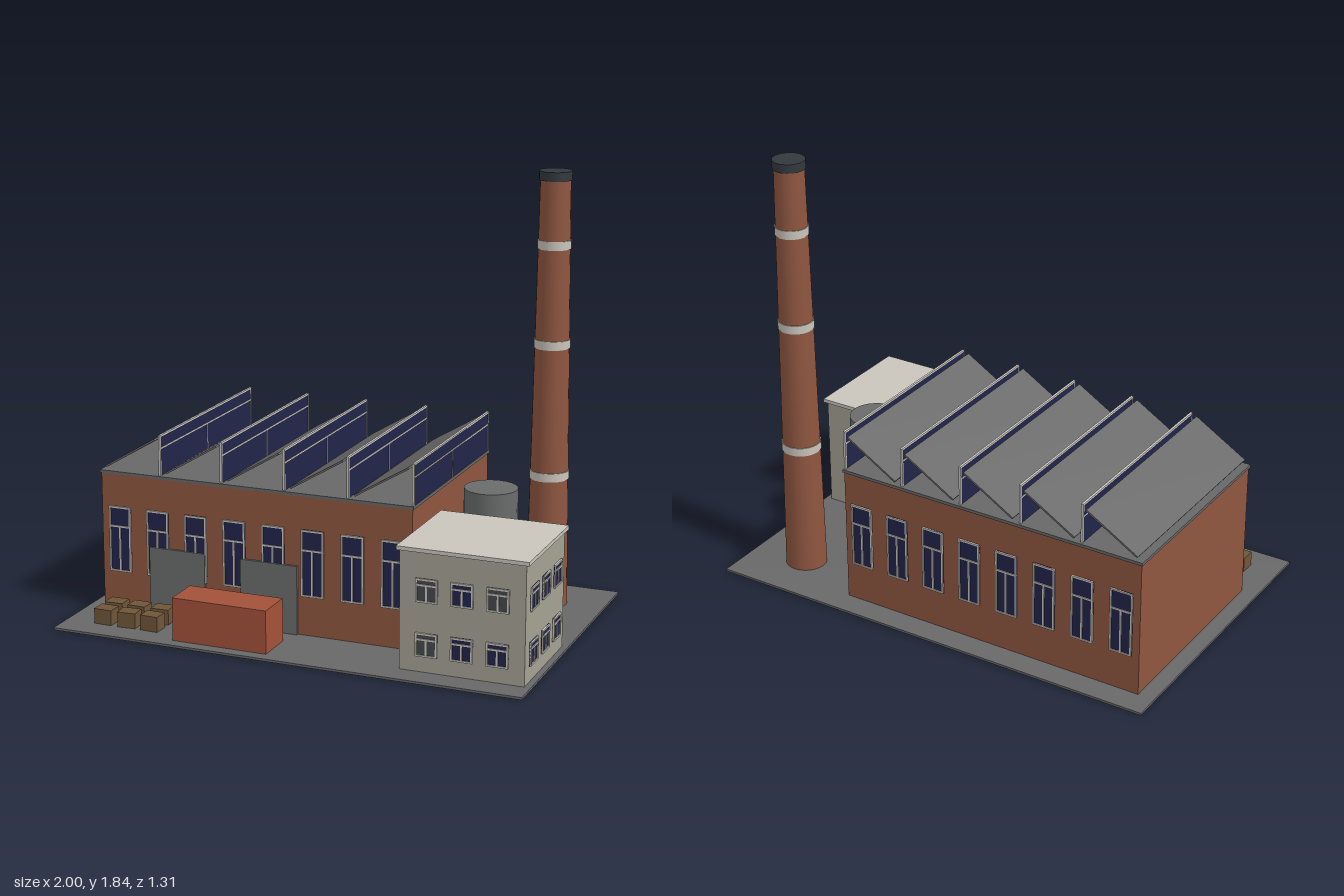
import * as THREE from 'three';

const mat = (name, color) => {
  const m = new THREE.MeshStandardMaterial({ color });
  m.name = name;
  return m;
};

export function createModel() {
  const brick = mat('brick', 0x8f5640), roofGrey = mat('roofGrey', 0x686868);
  const pale = mat('palePaint', 0xc9c5bc), plaster = mat('plaster', 0xa5a193);
  const glass = mat('glass', 0x22244a), dull = mat('dullGlass', 0x45474b);
  const dark = mat('darkSteel', 0x32383d), steel = mat('steel', 0x6a6c6c);
  const red = mat('containerRed', 0xa35139), wood = mat('wood', 0x6f5539);

  const model = new THREE.Group();
  model.name = 'factory';

  const add = (parent, name, geo, material, x, y, z) => {
    const m = new THREE.Mesh(geo, material);
    m.name = name;
    m.position.set(x, y, z);
    parent.add(m);
    return m;
  };
  // Box given by its limits on each axis
  const block = (parent, name, material, x0, x1, y0, y1, z0, z1) =>
    add(parent, name, new THREE.BoxGeometry(x1 - x0, y1 - y0, z1 - z0), material,
      (x0 + x1) / 2, (y0 + y1) / 2, (z0 + z1) / 2);
  const group = (name) => {
    const g = new THREE.Group();
    g.name = name;
    model.add(g);
    return g;
  };

  // Window facing +z, centred on its origin: pane, border, transom and lower mullions
  const makeWindow = (name, w, h, transom, mullions, bar, pane) => {
    const g = group(name);
    const x = w / 2, y = h / 2;
    block(g, 'pane', pane, -x, x, -y, y, 0, 0.004);
    const strip = (x0, x1, y0, y1) => block(g, 'frame', pale, x0, x1, y0, y1, 0, 0.008);
    strip(-x, -x + bar, -y, y);
    strip(x - bar, x, -y, y);
    strip(-x, x, y - bar, y);
    strip(-x, x, -y, -y + bar);
    strip(-x, x, transom - bar / 2, transom + bar / 2);
    for (const m of mullions) strip(m - bar / 2, m + bar / 2, -y, transom);
    return g;
  };

  // Ground
  block(model, 'ground', roofGrey, -1, 1, 0, 0.01, -0.655, 0.655);

  // Main hall
  const hall = group('hall');
  block(hall, 'walls', brick, -0.93, 0.44, 0.01, 0.592, -0.55, 0.345);
  block(hall, 'roofSlab', roofGrey, -0.935, 0.445, 0.592, 0.605, -0.555, 0.35);
  for (let i = 0; i < 8; i++) {
    const x = -0.848 + i * 0.1725;
    makeWindow('hallWindowFront', 0.098, 0.28, 0.055, [0], 0.007, glass).position.set(x, 0.315, 0.345);
    const back = makeWindow('hallWindowBack', 0.098, 0.28, 0.055, [0], 0.007, glass);
    back.position.set(x, 0.315, -0.55);
    back.rotation.y = Math.PI;
  }

  // Gates
  for (const x of [-0.585, -0.175])
    block(hall, 'gate', steel, x - 0.125, x + 0.125, 0.01, 0.3, 0.345, 0.357);

  // Sawtooth roof: sloped slabs and upright glazing
  for (let i = 0; i < 5; i++) {
    const x = -0.91 + i * 0.276;
    const run = 0.226, rise = 0.136;
    const slab = add(hall, 'sawtoothSlab', new THREE.BoxGeometry(Math.hypot(run, rise), 0.008, 0.895),
      roofGrey, x + run / 2, 0.62 + rise / 2, -0.1025);
    slab.rotation.z = Math.atan2(rise, run);
    const gx = x + 0.245;
    block(hall, 'skylightGlass', glass, gx - 0.003, gx + 0.003, 0.605, 0.77, -0.54, 0.335);
    const bar = (y0, y1, z0, z1) => block(hall, 'skylightFrame', pale, gx - 0.005, gx + 0.005, y0, y1, z0, z1);
    bar(0.768, 0.775, -0.545, 0.34);
    bar(0.717, 0.723, -0.54, 0.335);
    bar(0.605, 0.775, -0.545, -0.538);
    bar(0.605, 0.775, 0.333, 0.34);
    bar(0.605, 0.72, -0.105, -0.1);
  }

  // Office
  const office = group('office');
  block(office, 'walls', plaster, 0.465, 0.975, 0.01, 0.495, 0.07, 0.55);
  block(office, 'roof', pale, 0.453, 0.988, 0.495, 0.511, 0.058, 0.56);
  [0.122, 0.342].forEach((y, row) => {
    for (let i = 0; i < 3; i++) {
      const pane = i === 0 || (i === 2 && row === 1) ? dull : glass;
      makeWindow('officeWindowFront', 0.09, 0.096, 0.022, [0], 0.007, pane)
        .position.set(0.577 + i * 0.144, y, 0.55);
      const side = makeWindow('officeWindowSide', 0.09, 0.096, 0.022, [0], 0.007, glass);
      side.position.set(0.975, y, 0.45 - i * 0.145);
      side.rotation.y = Math.PI / 2;
    }
  });
  block(office, 'pipeLink', dark, 0.44, 0.515, 0.352, 0.382, 0.048, 0.072);

  // Water tank
  const tank = group('waterTank');
  add(tank, 'tankBody', new THREE.CylinderGeometry(0.11, 0.11, 0.21, 24), steel, 0.62, 0.485, -0.07);
  add(tank, 'tankPost', new THREE.CylinderGeometry(0.014, 0.014, 0.37, 10), dark, 0.62, 0.195, -0.07);

  // Chimney
  const chimney = group('chimney');
  const radiusAt = (y) => 0.087 - (0.025 * (y - 0.01)) / 1.79;
  add(chimney, 'stack', new THREE.CylinderGeometry(radiusAt(1.8), radiusAt(0.01), 1.79, 24), brick, 0.755, 0.905, -0.415);
  for (const y of [0.573, 1.127, 1.537])
    add(chimney, 'band', new THREE.CylinderGeometry(radiusAt(y) + 0.003, radiusAt(y) + 0.003, 0.036, 24), pale, 0.755, y, -0.415);
  add(chimney, 'cap', new THREE.CylinderGeometry(0.067, 0.067, 0.037, 24), dark, 0.755, 1.8165, -0.415);

  // Container
  block(model, 'container', red, -0.485, -0.075, 0.01, 0.19, 0.44, 0.605);

  // Crates, each turned slightly
  for (let i = 0; i < 6; i++) {
    const col = i % 3, row = Math.floor(i / 3);
    const crate = add(model, 'crate', new THREE.BoxGeometry(0.078, 0.064, 0.066), wood,
      -0.832 + col * 0.105, 0.042, 0.42 + row * 0.093);
    crate.rotation.y = [0.03, -0.04, 0.05, -0.03, 0.07, -0.04][i];
  }

  return model;
}
